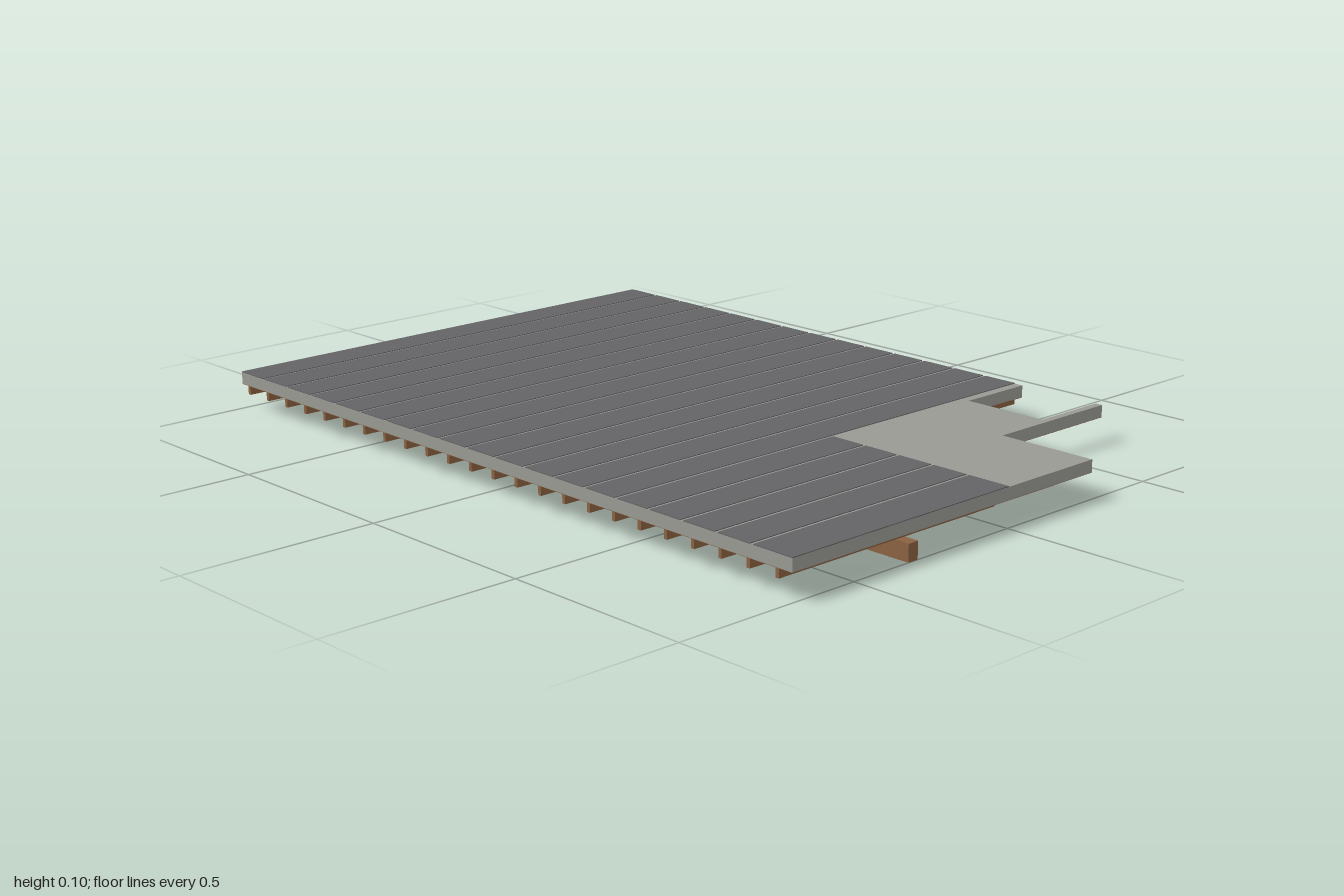
import * as THREE from 'three';

const mat = (name, color) => Object.assign(new THREE.MeshStandardMaterial({ color }), { name });

export function createModel() {
  const deck = new THREE.Group();
  deck.name = 'deck';
  const slabGrey = mat('slab grey', 0x9a9a94);
  const boardGrey = mat('board grey', 0x636366);
  const wood = mat('wood brown', 0x8a6242);

  // Box given by its minimum and maximum corners
  const box = (name, material, [x0, y0, z0], [x1, y1, z1]) => {
    const mesh = new THREE.Mesh(new THREE.BoxGeometry(x1 - x0, y1 - y0, z1 - z0), material);
    mesh.position.set((x0 + x1) / 2, (y0 + y1) / 2, (z0 + z1) / 2);
    mesh.name = name;
    deck.add(mesh);
  };

  const Z = 0.685;
  const slabBottom = 0.066, slabTop = 0.097, boardTop = 0.099;
  const beamTop = 0.043;

  // Slab outline with the stepped notch in the back left corner (x, -z)
  const outline = new THREE.Shape([
    [-1, -Z], [1, -Z], [1, 0.3], [0.735, 0.3], [0.735, Z], [0.715, Z],
    [0.715, 0.475], [0.483, 0.475], [0.483, Z], [-1, Z],
  ].map(([x, y]) => new THREE.Vector2(x, y)));
  const layer = (name, material, bottom, top) => {
    const geometry = new THREE.ExtrudeGeometry(outline, { depth: top - bottom, bevelEnabled: false });
    geometry.rotateX(-Math.PI / 2);
    const mesh = new THREE.Mesh(geometry, material);
    mesh.position.y = bottom;
    mesh.name = name;
    deck.add(mesh);
  };
  layer('slab', slabGrey, slabBottom, slabTop);
  layer('underside', wood, slabBottom - 0.001, slabBottom);

  // Surface boards, cut short beside the notch
  const pitch = 0.1048, gap = 0.009;
  for (let i = 0; i < 19; i++) {
    const x0 = -1 + i * pitch;
    const x1 = i === 18 ? 1 : x0 + pitch - gap;
    box('board', boardGrey, [x0, slabTop, i < 14 ? -Z : 0], [x1, boardTop, Z]);
  }

  // Joists running front to back
  for (let i = 0; i < 24; i++) {
    const x = -0.968 + i * 0.0837;
    box('joist', wood, [x - 0.005, beamTop, x < 0.48 ? -Z : 0], [x + 0.005, slabBottom, Z]);
  }

  // Two bearing beams, the back one stopping at the notch
  box('frontBeam', wood, [-1, 0, 0.3], [1, beamTop, 0.33]);
  box('backBeam', wood, [-1, 0, -0.328], [0.48, beamTop, -0.298]);

  return deck;
}
